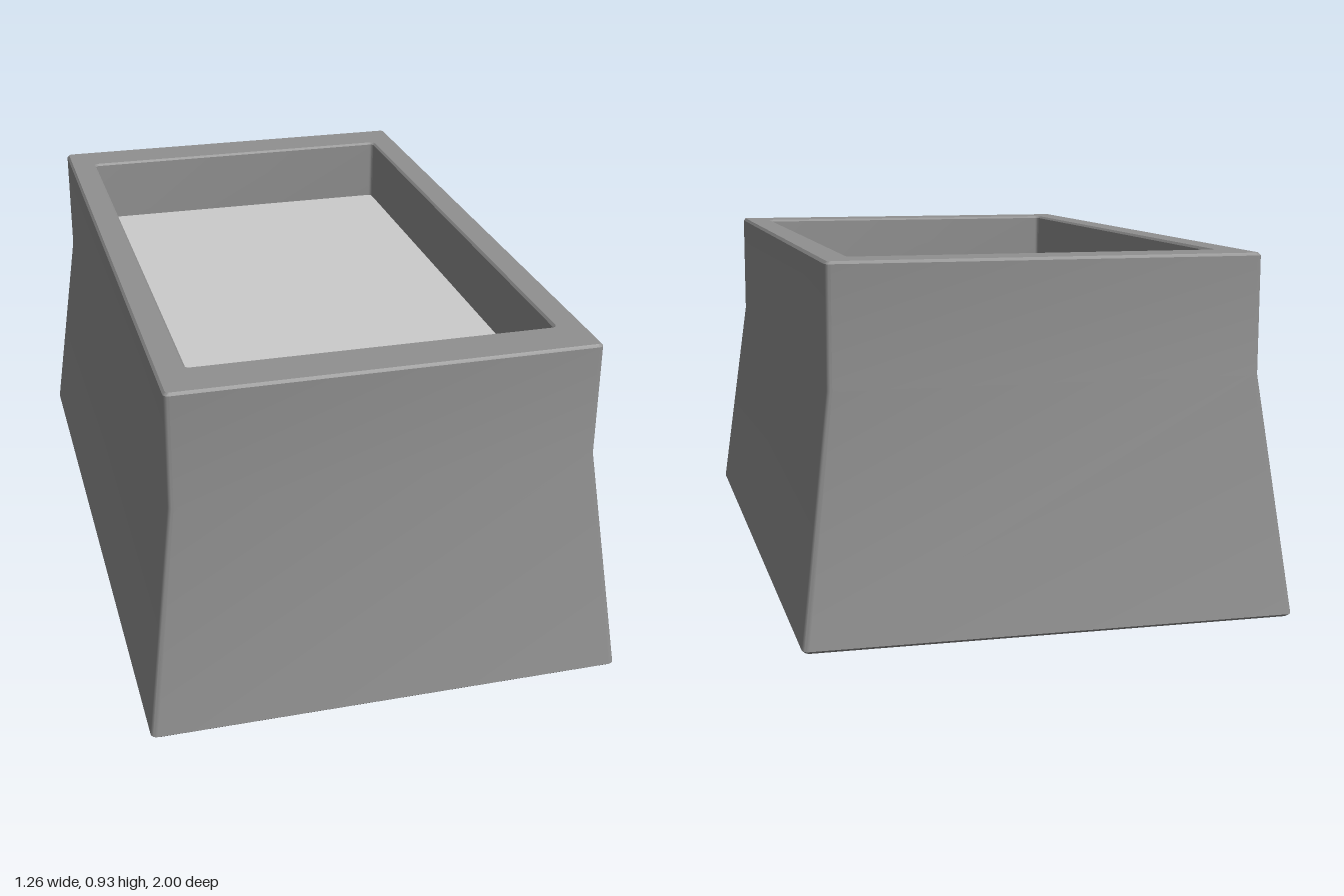
import * as THREE from 'three';
import { toCreasedNormals } from 'three/addons/utils/BufferGeometryUtils.js';

const STEPS = 4; // segments per rounded corner

// Rounded rectangle in the xz plane, counter-clockwise seen from +z rotated to +x
function ring([hx, hz, y, r]) {
  const pts = [];
  const corners = [[1, 1], [-1, 1], [-1, -1], [1, -1]];
  corners.forEach(([sx, sz], c) => {
    for (let i = 0; i <= STEPS; i++) {
      const a = (c + i / STEPS) * Math.PI / 2;
      pts.push([sx * (hx - r) + r * Math.cos(a), y, sz * (hz - r) + r * Math.sin(a)]);
    }
  });
  return pts;
}

// Skin stacked rings, with optional flat caps on the first and last ring
function loft(sections, capStart, capEnd) {
  const rings = sections.map(ring);
  const n = rings[0].length;
  const index = [];
  for (let s = 0; s < rings.length - 1; s++) {
    for (let i = 0; i < n; i++) {
      const a = s * n + i, b = s * n + (i + 1) % n;
      index.push(a, a + n, b, b, a + n, b + n);
    }
  }
  const last = (rings.length - 1) * n;
  for (let i = 1; i < n - 1; i++) {
    if (capStart) index.push(0, i, i + 1);
    if (capEnd) index.push(last, last + i + 1, last + i);
  }
  const geo = new THREE.BufferGeometry();
  geo.setAttribute('position', new THREE.Float32BufferAttribute(rings.flat(2), 3));
  geo.setIndex(index);
  return toCreasedNormals(geo, 0.5);
}

function part(name, geometry, color) {
  const mesh = new THREE.Mesh(geometry, new THREE.MeshStandardMaterial({ color }));
  mesh.name = name;
  return mesh;
}

export function createModel() {
  const group = new THREE.Group();
  group.name = 'planter';

  // Flared base, straight collar, flat rim and inner wall: [halfX, halfZ, y, cornerRadius]
  const shell = loft([
    [0.624, 0.992, 0, 0.012],
    [0.632, 1.0, 0.007, 0.016],
    [0.554, 0.922, 0.62, 0.014],
    [0.554, 0.922, 0.923, 0.014],
    [0.548, 0.916, 0.93, 0.01],
    [0.481, 0.796, 0.93, 0.016],
    [0.475, 0.79, 0.924, 0.012],
    [0.475, 0.79, 0.73, 0.012],
  ], true, false);
  group.add(part('planterShell', shell, 0x909090));

  // Light fill surface inside the recess
  const fill = loft([
    [0.475, 0.79, 0.73, 0.012],
    [0.475, 0.79, 0.74, 0.012],
    [0.47, 0.785, 0.745, 0.01],
  ], true, true);
  group.add(part('fillSurface', fill, 0xcccccc));

  return group;
}
